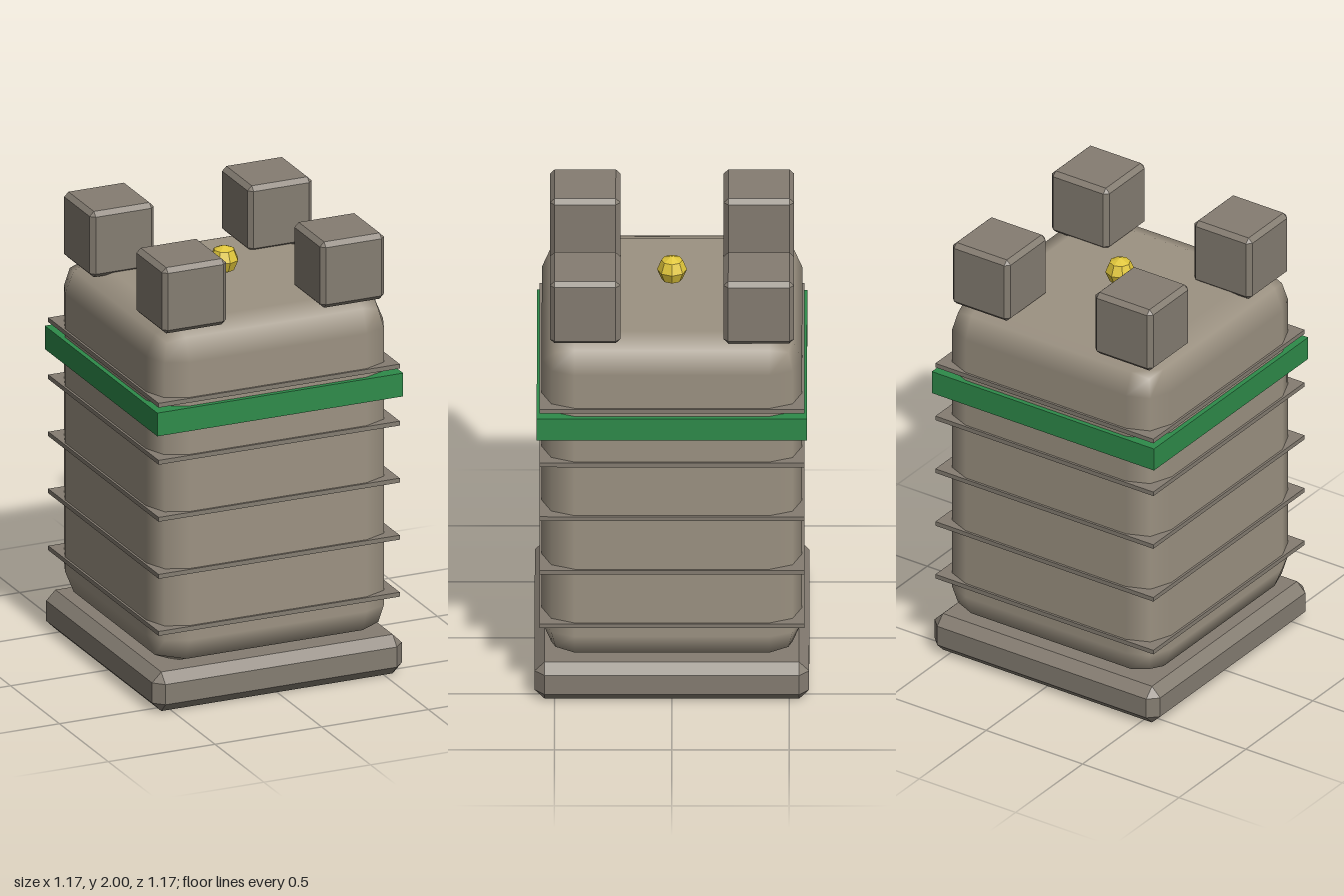
import * as THREE from 'three';
import { RoundedBoxGeometry } from 'three/addons/geometries/RoundedBoxGeometry.js';
import { ConvexGeometry } from 'three/addons/geometries/ConvexGeometry.js';

const paint = (color, flatShading = false) => new THREE.MeshStandardMaterial({ color, flatShading });

// Box with a single flat chamfer c on every edge
function chamferedBox(w, h, d, c) {
  const points = [];
  for (const sx of [-1, 1]) for (const sy of [-1, 1]) for (const sz of [-1, 1]) {
    const x = w / 2, y = h / 2, z = d / 2;
    points.push(
      new THREE.Vector3(sx * x, sy * (y - c), sz * (z - c)),
      new THREE.Vector3(sx * (x - c), sy * y, sz * (z - c)),
      new THREE.Vector3(sx * (x - c), sy * (y - c), sz * z),
    );
  }
  return new ConvexGeometry(points);
}

export function createModel() {
  const model = new THREE.Group();
  model.name = 'tower';
  const wall = paint(0x9c9282);
  const trim = paint(0x857d72);

  const add = (name, geometry, material, x, y, z) => {
    const mesh = new THREE.Mesh(geometry, material);
    mesh.name = name;
    mesh.position.set(x, y, z);
    model.add(mesh);
  };

  // Plinth and softly bevelled shaft
  add('base', chamferedBox(1.17, 0.178, 1.17, 0.043), trim, 0, 0.089, 0);
  add('body', new RoundedBoxGeometry(1.11, 1.546, 1.11, 1, 0.14), wall, 0, 0.94, 0);

  // Thin stone courses around the shaft
  const course = new THREE.BoxGeometry(1.13, 0.02, 1.13);
  for (let i = 0; i < 5; i++) add('course' + (i + 1), course, trim, 0, 0.364 + i * 0.26, 0);

  // Coloured band
  add('band', new THREE.BoxGeometry(1.152, 0.106, 1.152), paint(0x2e8b4a), 0, 1.322, 0);

  // Corner battlements
  const merlon = chamferedBox(0.3, 0.3, 0.3, 0.02);
  for (const [xName, sx] of [['Left', 1], ['Right', -1]])
    for (const [zName, sz] of [['front', 1], ['back', -1]])
      add(zName + xName + 'Battlement', merlon, trim, sx * 0.37, 1.85, sz * 0.37);

  // Floating gold orb
  add('orb', new THREE.SphereGeometry(0.064, 8, 4), paint(0xe0c63a, true), 0, 1.788, 0);

  return model;
}
